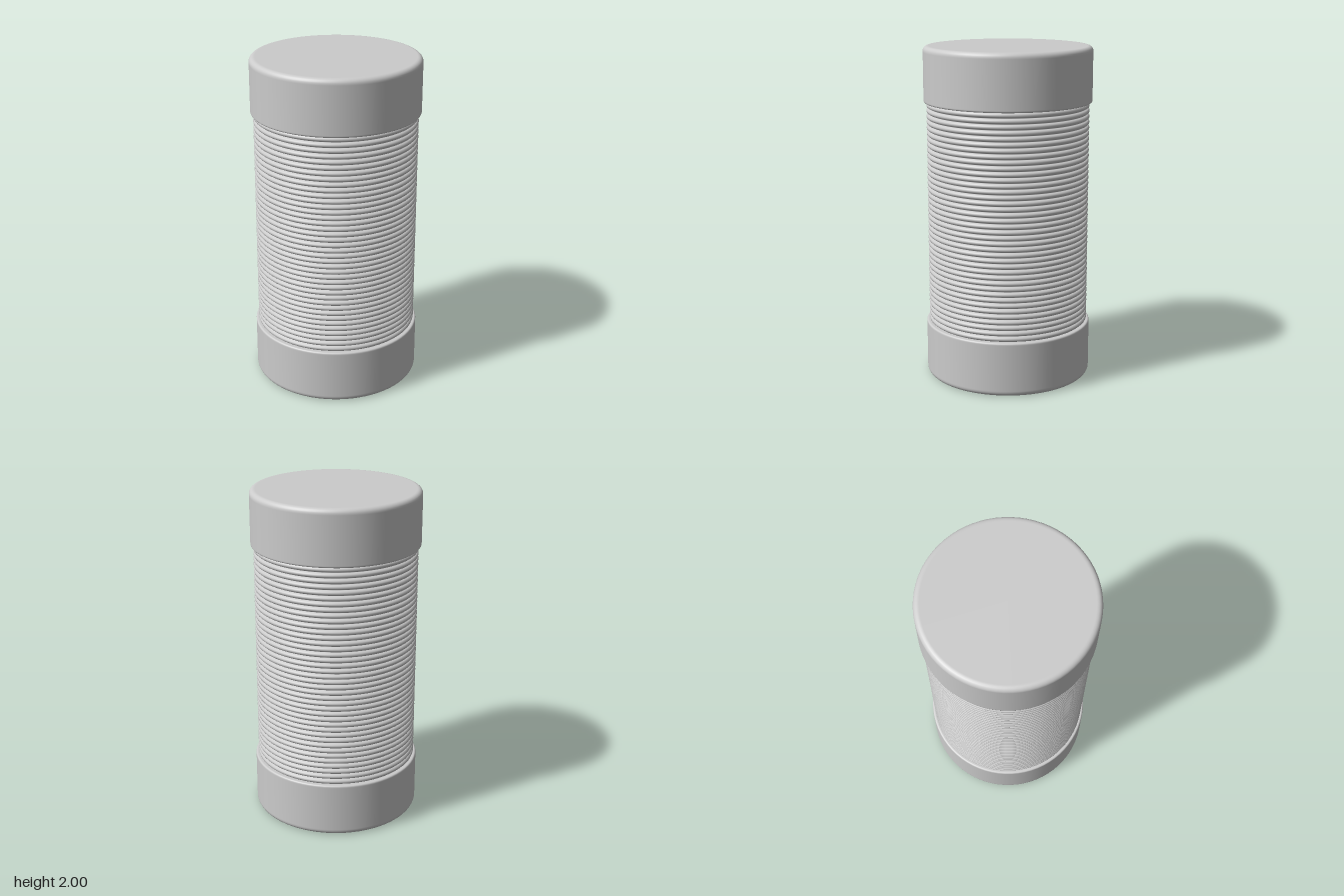
import * as THREE from 'three';

const SEGMENTS = 72;
const CAP_HEIGHT = 0.33;
const CAP_RADIUS = 0.5;
const RIBS = 40;

const material = new THREE.MeshStandardMaterial({ color: 0xcccccc });

function lathe(name, points) {
  const mesh = new THREE.Mesh(new THREE.LatheGeometry(points, SEGMENTS), material);
  mesh.name = name;
  return mesh;
}

// Quarter-circle corner points around (cx, cy)
function corner(cx, cy, r, startAngle, steps) {
  return Array.from({ length: steps + 1 }, (_, i) => {
    const a = startAngle + (i / steps) * Math.PI / 2;
    return new THREE.Vector2(cx + r * Math.cos(a), cy + r * Math.sin(a));
  });
}

// Solid end cap: small rounding on the inner rim, larger on the outer rim
function createCap(name) {
  const inner = 0.01, outer = 0.03;
  return lathe(name, [
    new THREE.Vector2(0, 0),
    new THREE.Vector2(CAP_RADIUS - inner - 0.005, 0),
    ...corner(CAP_RADIUS - inner, inner, inner, -Math.PI / 2, 4),
    new THREE.Vector2(CAP_RADIUS, inner + 0.005),
    new THREE.Vector2(CAP_RADIUS, CAP_HEIGHT - outer - 0.005),
    ...corner(CAP_RADIUS - outer, CAP_HEIGHT - outer, outer, 0, 6),
    new THREE.Vector2(CAP_RADIUS - outer - 0.005, CAP_HEIGHT),
    new THREE.Vector2(0, CAP_HEIGHT),
  ]);
}

// Grip: stacked rounded ribs with narrow grooves between them
function createGrip() {
  const bottom = CAP_HEIGHT, pitch = (2 - 2 * CAP_HEIGHT) / RIBS;
  const grooveRadius = 0.467, depth = 0.017, steps = 6;
  const points = [];
  for (let rib = 0; rib < RIBS; rib++) {
    const middle = bottom + (rib + 0.5) * pitch;
    for (let i = 0; i <= steps; i++) {
      const a = -Math.PI / 2 + (i / steps) * Math.PI;
      points.push(new THREE.Vector2(
        grooveRadius + depth * Math.cos(a),
        middle + pitch * 0.46 * Math.sin(a)
      ));
    }
  }
  return lathe('ribbedGrip', points);
}

export function createModel() {
  const model = new THREE.Group();
  model.name = 'ribbedCylinder';

  const topCap = createCap('topCap');
  topCap.position.y = 2 - CAP_HEIGHT;

  const bottomCap = createCap('bottomCap');
  bottomCap.rotation.x = Math.PI;
  bottomCap.position.y = CAP_HEIGHT;

  model.add(bottomCap, createGrip(), topCap);
  return model;
}
